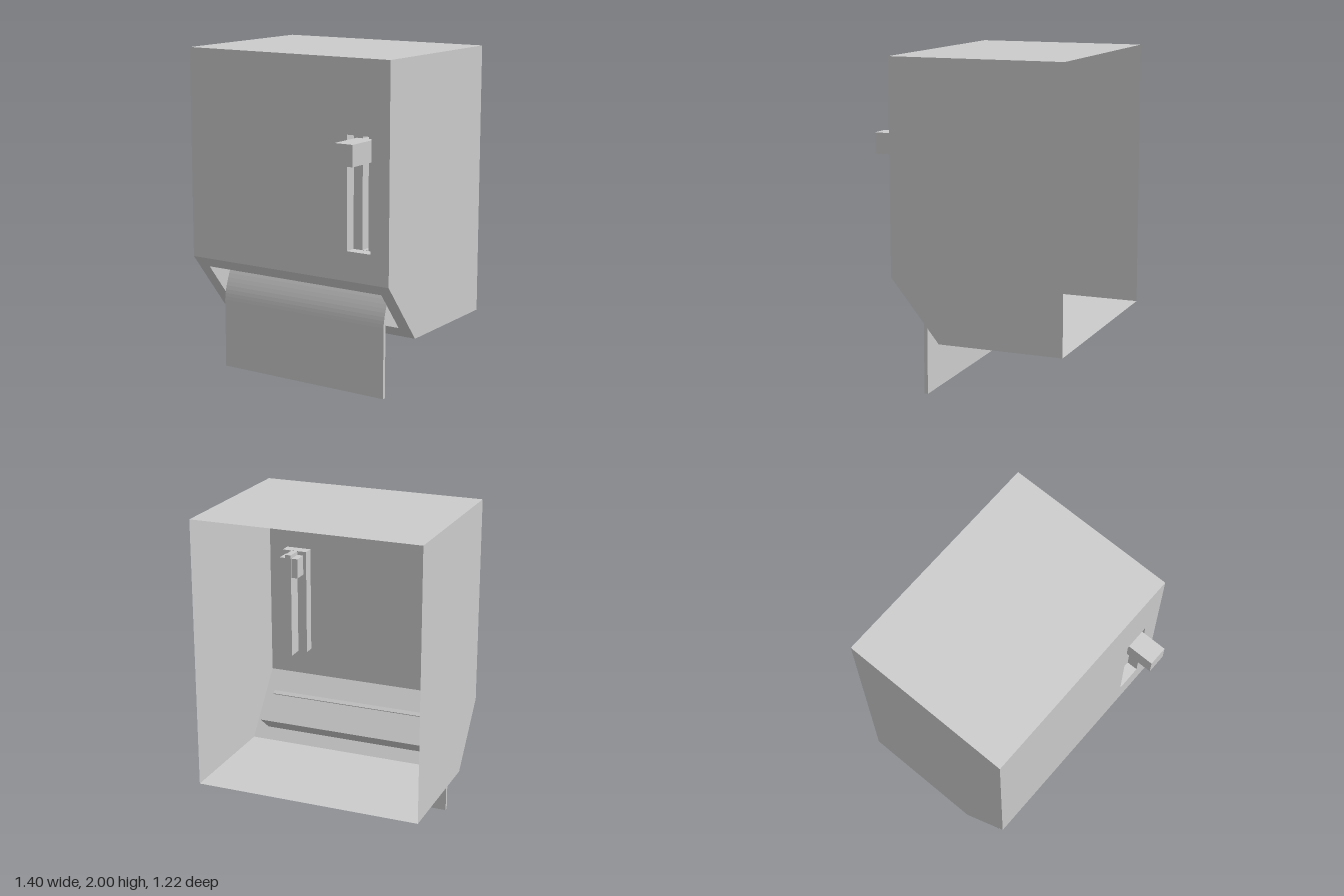
import * as THREE from 'three';

const sheetMetal = new THREE.MeshStandardMaterial({ color: 0xcccccc, side: THREE.DoubleSide });

function add(parent, name, geometry, x = 0, y = 0, z = 0) {
  const mesh = new THREE.Mesh(geometry, sheetMetal);
  mesh.name = name;
  mesh.position.set(x, y, z);
  parent.add(mesh);
  return mesh;
}

// Corners of a centred rectangle
function rect(w, h, x = 0, y = 0) {
  return [[-1, -1], [1, -1], [1, 1], [-1, 1]].map(([a, b]) => new THREE.Vector2(x + a * w / 2, y + b * h / 2));
}

// Thin rectangular panel with an optional rectangular hole
function panel(w, h, hole) {
  const shape = new THREE.Shape(rect(w, h));
  if (hole) shape.holes.push(new THREE.Path(rect(...hole)));
  return new THREE.ShapeGeometry(shape);
}

// Pocket sunk behind the local z = 0 plane: four walls and a back
function pocket(name, w, h, d, hole) {
  const group = new THREE.Group();
  group.name = name;
  for (const s of [-1, 1]) {
    add(group, 'pocketSide', new THREE.PlaneGeometry(d, h), s * w / 2, 0, -d / 2).rotation.y = -s * Math.PI / 2;
    add(group, 'pocketEnd', new THREE.PlaneGeometry(w, d), 0, s * h / 2, -d / 2).rotation.x = s * Math.PI / 2;
  }
  add(group, 'pocketBack', panel(w, h, hole), 0, 0, -d);
  return group;
}

export function createModel() {
  const model = new THREE.Group();
  model.name = 'towelDispenser';
  const W = 1.4, back = -0.61, front = 0.45;

  // Open-backed housing
  const profile = new THREE.Shape([[back, 0.35], [0.15, 0.35], [front, 0.72], [front, 2], [back, 2]]
    .map(([z, y]) => new THREE.Vector2(z, y)));
  for (const s of [-1, 1]) {
    const side = add(model, s > 0 ? 'leftSide' : 'rightSide', new THREE.ShapeGeometry(profile), s * W / 2);
    side.rotation.y = -Math.PI / 2;
  }
  add(model, 'top', new THREE.PlaneGeometry(W, front - back), 0, 2, (front + back) / 2).rotation.x = -Math.PI / 2;
  add(model, 'floor', new THREE.PlaneGeometry(W, 0.15 - back), 0, 0.35, (0.15 + back) / 2).rotation.x = Math.PI / 2;

  // Front wall with the lever recess and its deeper slit
  const slotX = 0.5, slotY = 1.232, slotW = 0.16, slotH = 0.67;
  add(model, 'frontWall', panel(W, 1.28, [slotW, slotH, slotX, slotY - 1.36]), 0, 1.36, front);
  const slot = pocket('leverRecess', slotW, slotH, 0.07, [0.04, slotH - 0.002]);
  slot.position.set(slotX, slotY, front);
  const slit = pocket('leverSlit', 0.04, slotH - 0.002, 0.1);
  slit.position.z = -0.07;
  slot.add(slit);
  model.add(slot);
  add(model, 'lever', new THREE.BoxGeometry(0.12, 0.125, 0.32), slotX, 1.48, 0.45);

  // Slanted lower front with the dispensing mouth
  const mouth = new THREE.Group();
  mouth.name = 'dispensingMouth';
  mouth.position.set(0, 0.535, 0.3);
  mouth.rotation.x = Math.atan2(0.3, 0.37);
  add(mouth, 'mouthFrame', panel(W, Math.hypot(0.3, 0.37), [1.24, 0.31]));
  mouth.add(pocket('mouthRecess', 1.24, 0.31, 0.15));
  model.add(mouth);

  // Paper sheet, bending back into the mouth
  const paper = new THREE.Shape();
  paper.moveTo(0.28, 0);
  paper.lineTo(0.302, 0);
  paper.lineTo(0.302, 0.43);
  paper.quadraticCurveTo(0.295, 0.53, 0.215, 0.672);
  paper.lineTo(0.197, 0.655);
  paper.quadraticCurveTo(0.273, 0.52, 0.28, 0.43);
  paper.closePath();
  const sheet = new THREE.ExtrudeGeometry(paper, { depth: 1.155, bevelEnabled: false, curveSegments: 10 });
  sheet.translate(0, 0, -0.5775);
  add(model, 'paperSheet', sheet).rotation.y = -Math.PI / 2;

  return model;
}
